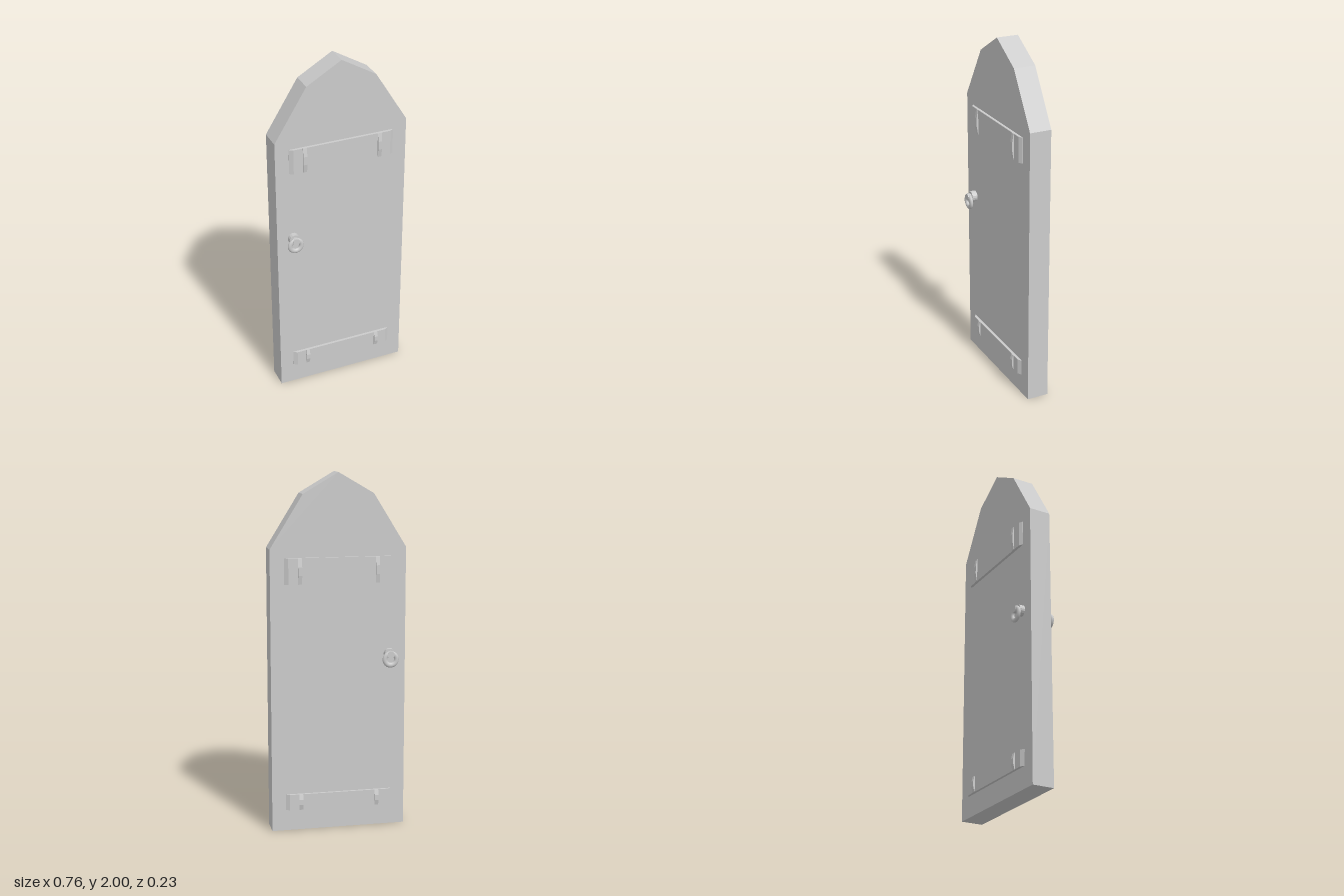
import * as THREE from 'three';

const material = new THREE.MeshStandardMaterial({ color: 0xcccccc, flatShading: true });
const smooth = new THREE.MeshStandardMaterial({ color: 0xcccccc });

function add(parent, name, geometry, mat = material) {
  const mesh = new THREE.Mesh(geometry, mat);
  mesh.name = name;
  parent.add(mesh);
  return mesh;
}

// Extrudes a polygon symmetrically about its own plane
function slab(points, depth) {
  const shape = new THREE.Shape(points.map(([x, y]) => new THREE.Vector2(x, y)));
  return new THREE.ExtrudeGeometry(shape, { depth, bevelEnabled: false }).translate(0, 0, -depth / 2);
}

// Metal strap with sloped ends and two bowed bands across it
function makeStrap(name, y, height) {
  const strap = new THREE.Group();
  strap.name = name;
  const plate = slab([[-0.302, 0.05], [0.302, 0.05], [0.302, 0.064], [0.281, 0.077], [-0.281, 0.077], [-0.302, 0.064]], height);
  add(strap, 'strapPlate', plate.rotateX(Math.PI / 2).scale(1, 1, 1));
  // the rotation sends the profile's y axis to +z
  const h = height / 2;
  for (const side of [-1, 1]) {
    const band = slab([[-0.06, -h], [-0.06, h], [-0.079, h], [-0.087, h * 0.33], [-0.087, -h * 0.33], [-0.079, -h]], 0.022);
    add(strap, 'strapBand', band.rotateY(Math.PI / 2)).position.x = side * 0.217;
  }
  strap.position.y = y;
  return strap;
}

// Stepped round mount with a hanging pull ring
function makeHandle(x) {
  const handle = new THREE.Group();
  handle.name = 'handle';
  const mount = (name, r, z0, z1) => {
    const g = new THREE.CylinderGeometry(r, r, z1 - z0, 16).rotateX(Math.PI / 2);
    add(handle, name, g).position.set(x, 0.995, (z0 + z1) / 2);
  };
  mount('handleBase', 0.031, 0.05, 0.093);
  mount('handlePeg', 0.02, 0.09, 0.115);
  const ring = new THREE.TorusGeometry(0.033, 0.014, 10, 24).scale(1, 1, 0.75);
  add(handle, 'pullRing', ring, smooth).position.set(x, 0.968, 0.103);
  return handle;
}

export function createModel() {
  const model = new THREE.Group();
  model.name = 'door';

  // Pointed door panel
  add(model, 'doorPanel', slab([
    [-0.38, 0], [0.38, 0], [0.38, 1.59], [0.197, 1.885], [0, 2], [-0.197, 1.885], [-0.38, 1.59],
  ], 0.124));

  // Same fittings on both faces, handle on the same edge
  for (const side of [1, -1]) {
    const face = new THREE.Group();
    face.name = side > 0 ? 'frontFittings' : 'backFittings';
    face.add(makeStrap('upperStrap', 1.47, 0.144), makeStrap('lowerStrap', 0.165, 0.09));
    face.add(makeHandle(-0.288 * side));
    if (side < 0) face.rotation.y = Math.PI;
    model.add(face);
  }
  return model;
}
